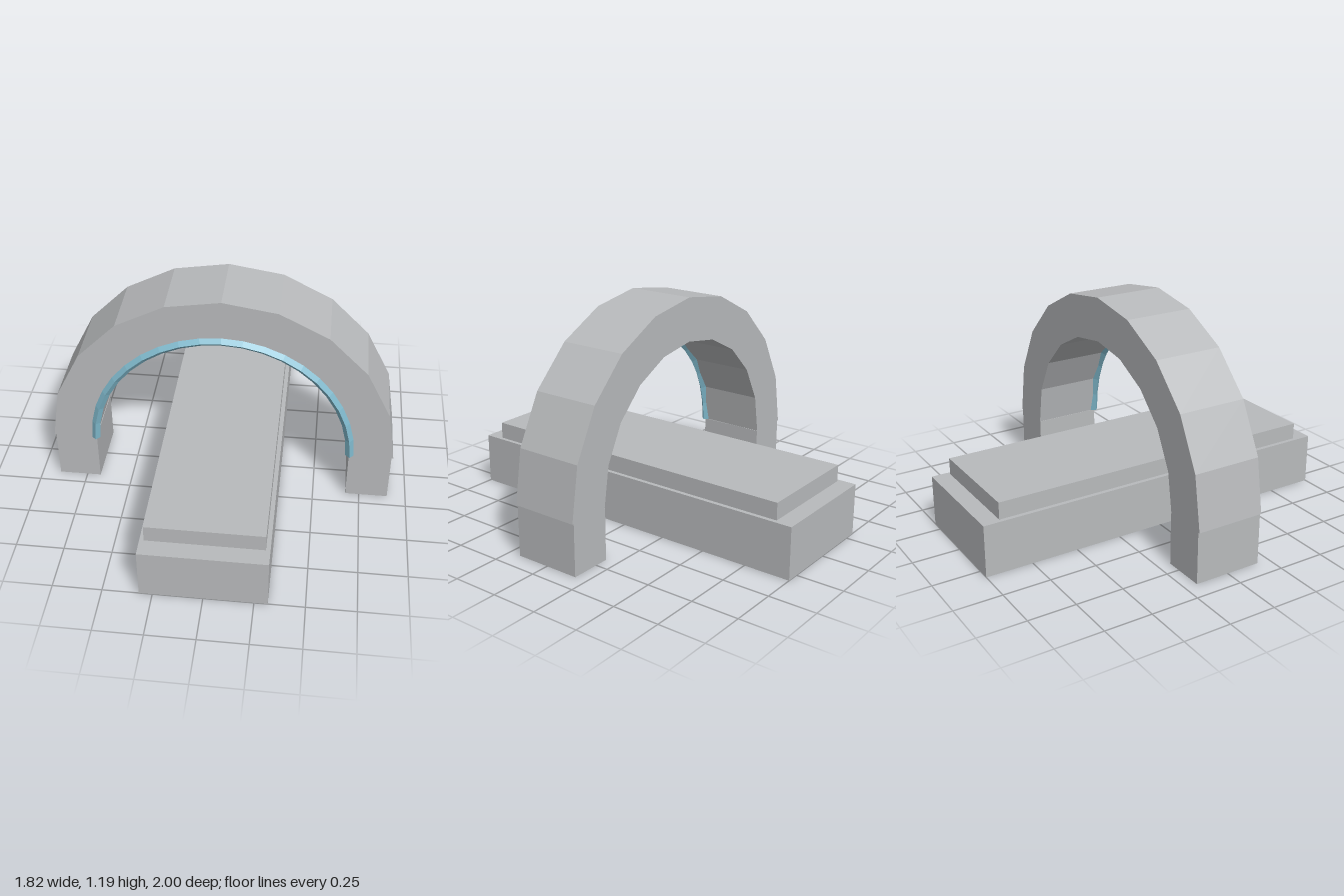
import * as THREE from 'three';

const SPRING = 0.275;   // height where the arch meets its legs
const HALF_DEPTH = 0.182;

export function createModel() {
  const model = new THREE.Group();
  model.name = 'archScanner';

  const grey = new THREE.MeshStandardMaterial({ color: 0xb8babc });
  grey.name = 'light grey';
  const blue = new THREE.MeshStandardMaterial({ color: 0x7fb8cb });
  blue.name = 'soft blue';
  grey.flatShading = blue.flatShading = true;

  function add(name, geometry, material, x = 0, y = 0, z = 0) {
    const mesh = new THREE.Mesh(geometry, material);
    mesh.name = name;
    mesh.position.set(x, y, z);
    model.add(mesh);
  }

  // Bed: long plinth with a slightly smaller pad on top
  add('bedBase', new THREE.BoxGeometry(0.634, SPRING, 2), grey, 0, SPRING / 2);
  add('bedPad', new THREE.BoxGeometry(0.59, 0.09, 1.815), grey, 0, SPRING + 0.045);

  // Faceted half-ring arch
  const sides = 10, outer = [], inner = [];
  for (let i = 0; i <= sides; i++) {
    const a = (i / sides) * Math.PI;
    outer.push(new THREE.Vector2(0.91 * Math.cos(a), 0.91 * Math.sin(a)));
    inner.unshift(new THREE.Vector2(0.68 * Math.cos(a), 0.68 * Math.sin(a)));
  }
  const arch = new THREE.ExtrudeGeometry(new THREE.Shape([...outer, ...inner]), {
    depth: HALF_DEPTH * 2, bevelEnabled: false,
  });
  add('arch', arch, grey, 0, SPRING, -HALF_DEPTH);

  // Legs under both ends of the arch
  for (const [name, side] of [['leftLeg', 1], ['rightLeg', -1]]) {
    add(name, new THREE.BoxGeometry(0.224, SPRING, HALF_DEPTH * 2), grey, side * 0.789, SPRING / 2);
  }

  // Diamond-section trim around the front inner edge
  add('archTrim', new THREE.TorusGeometry(0.68, 0.022, 4, 20, Math.PI), blue, 0, SPRING, HALF_DEPTH);

  return model;
}
